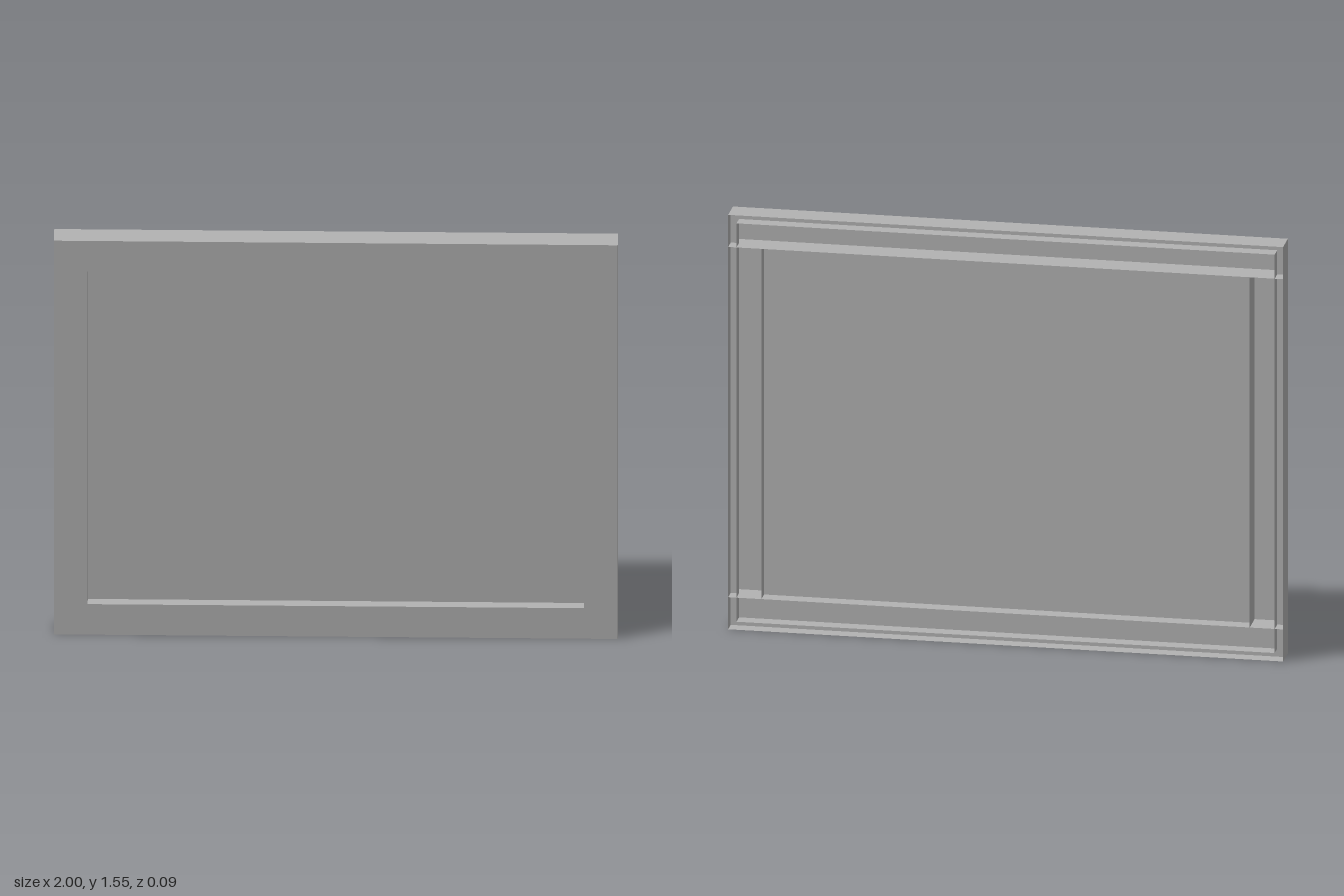
import * as THREE from 'three';

export function createModel() {
  const W = 2, H = 1.55, D = 0.095, rail = 0.12, lip = 0.03, lipDepth = 0.05;
  const front = D / 2, back = -D / 2;
  const grey = new THREE.MeshStandardMaterial({ color: 0xb2b2b2, side: THREE.DoubleSide });
  grey.name = 'plainGrey';
  const model = new THREE.Group();
  model.name = 'pictureFrame';

  const add = (name, geometry, x, y, z, parent = model) => {
    const mesh = new THREE.Mesh(geometry, grey);
    mesh.name = name;
    mesh.position.set(x, y, z);
    parent.add(mesh);
  };

  // Flat rectangular ring: outer inset a, inner inset b
  const ring = (a, b) => {
    const rect = (path, i) => path
      .moveTo(-W / 2 + i, i).lineTo(W / 2 - i, i)
      .lineTo(W / 2 - i, H - i).lineTo(-W / 2 + i, H - i).closePath();
    const shape = rect(new THREE.Shape(), a);
    shape.holes.push(rect(new THREE.Path(), b));
    return new THREE.ShapeGeometry(shape);
  };

  // Four sheet walls at an inset, reaching forward from the back edge
  const walls = (name, inset, depth, railLength) => {
    const group = new THREE.Group();
    group.name = name;
    const z = back + depth / 2, h = H - 2 * inset;
    for (const s of [-1, 1]) {
      add(name + (s > 0 ? 'Left' : 'Right'),
        new THREE.PlaneGeometry(depth, h).rotateY(s * Math.PI / 2),
        s * (W / 2 - inset), H / 2, z, group);
      add(name + (s > 0 ? 'Top' : 'Bottom'),
        new THREE.PlaneGeometry(railLength, depth).rotateX(-s * Math.PI / 2),
        0, H / 2 + s * h / 2, z, group);
    }
    model.add(group);
  };

  // Front face and the hollow channel behind it, open at the back
  add('frontFace', ring(0, rail), 0, 0, front);
  walls('outerWall', 0, D, W);
  walls('openingWall', rail, D, W);

  // Narrow slot along the outer back edge
  walls('slotWall', lip, lipDepth, W - 2 * lip);
  add('slotFloor', ring(0, lip), 0, 0, back + lipDepth);

  // Recessed panel filling the opening
  add('panel', new THREE.PlaneGeometry(W - 2 * rail, H - 2 * rail), 0, H / 2, 0.005);

  return model;
}
